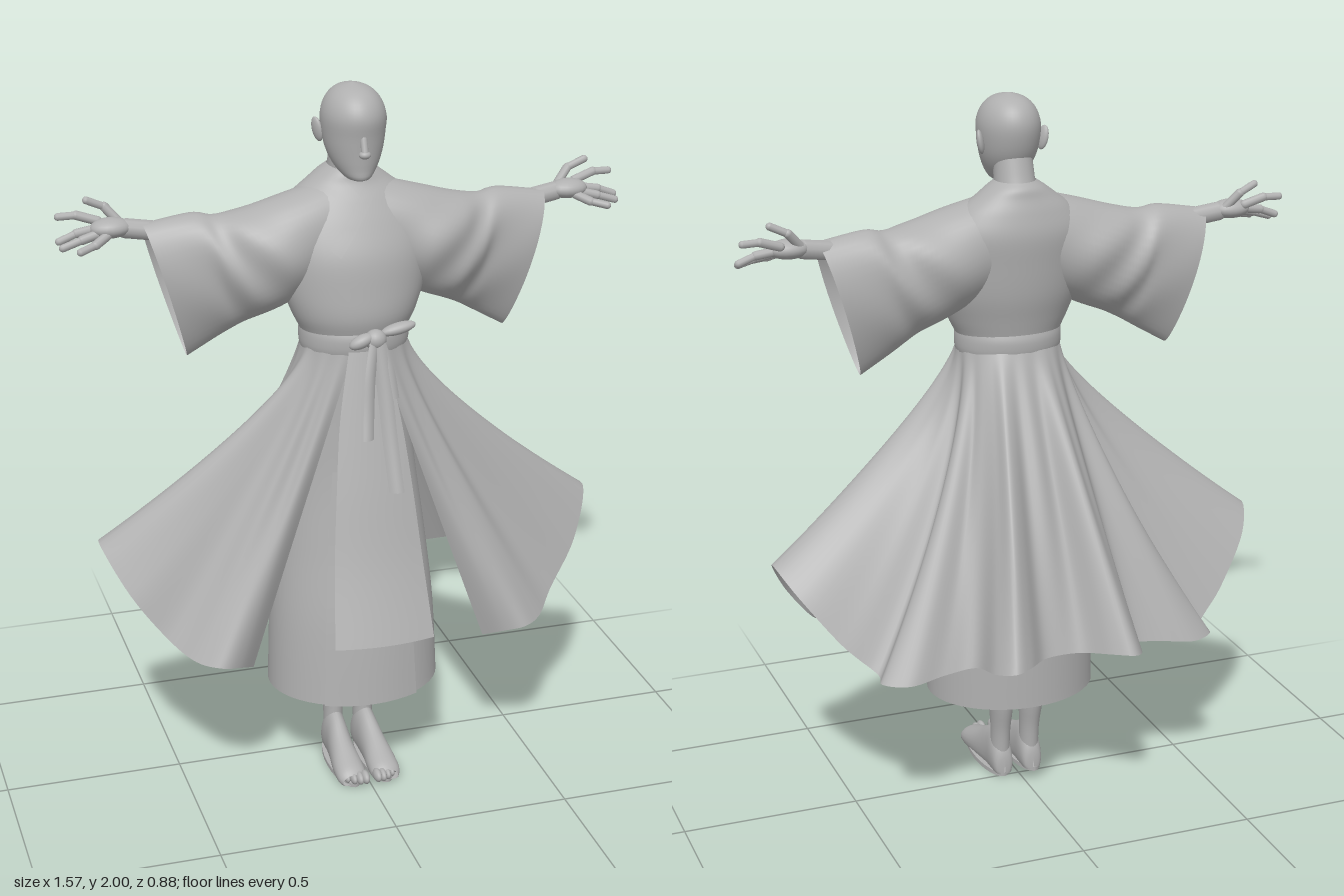
import * as THREE from 'three';

const V = (x, y, z) => new THREE.Vector3(x, y, z);

// Smoothly interpolates a table of rows at t in 0..1
function sample(rows, t) {
  const f = Math.min(Math.max(t, 0), 1) * (rows.length - 1);
  const i = Math.min(Math.floor(f), rows.length - 2), u = f - i;
  const at = k => rows[Math.min(Math.max(k, 0), rows.length - 1)];
  const [a, b, c, d] = [at(i - 1), at(i), at(i + 1), at(i + 2)];
  return b.map((p, k) => p + 0.5 * u * (c[k] - a[k] +
    u * (2 * a[k] - 5 * p + 4 * c[k] - d[k] + u * (3 * (p - c[k]) + d[k] - a[k]))));
}

// Grid surface from point(u, v); u may wrap around
function surface(point, nu, nv, closed = false) {
  const pos = [], idx = [], cols = closed ? nu : nu + 1;
  for (let j = 0; j <= nv; j++)
    for (let i = 0; i < cols; i++) pos.push(...point(i / nu, j / nv));
  for (let j = 0; j < nv; j++)
    for (let i = 0; i < nu; i++) {
      const a = j * cols + i, b = j * cols + (i + 1) % cols;
      idx.push(a, b, a + cols, b, b + cols, a + cols);
    }
  const g = new THREE.BufferGeometry();
  g.setAttribute('position', new THREE.Float32BufferAttribute(pos, 3));
  g.setIndex(idx);
  g.computeVertexNormals();
  return g;
}

// Upright loft through ellipses [y, cx, cz, rx, rz]
const loft = (rows, nu = 40, nv = 32) => surface((u, v) => {
  const [y, cx, cz, rx, rz] = sample(rows, v), a = u * Math.PI * 2;
  return [cx + rx * Math.sin(a), y, cz + rz * Math.cos(a)];
}, nu, nv, true);

// Ribbon through rows [x, y, z, halfWidth], spread along a direction
const ribbon = (rows, dir, bow = 0, n = 8) => surface((u, v) => {
  const [x, y, z, w] = sample(rows, v), s = u * 2 - 1;
  return [x + dir[0] * w * s, y + dir[1] * w * s, z + dir[2] * w * s - bow * w * s * s];
}, n, 24);

export function createModel() {
  const model = new THREE.Group();
  const cloth = new THREE.MeshStandardMaterial({ color: 0xb0b0b0, side: THREE.DoubleSide });
  cloth.name = 'plain grey';
  const add = (name, geo, parent = model) => {
    const m = new THREE.Mesh(geo, cloth);
    m.name = name;
    parent.add(m);
    return m;
  };
  const ball = (name, p, s, parent) => {
    const m = add(name, new THREE.SphereGeometry(1, 20, 14), parent);
    m.position.set(...p);
    m.scale.set(...s);
    return m;
  };
  const limb = (name, a, b, r, parent) => {
    const p = V(...a), d = V(...b).sub(p);
    const m = add(name, new THREE.CapsuleGeometry(r, d.length(), 5, 10), parent);
    m.position.copy(p).addScaledVector(d, 0.5);
    m.quaternion.setFromUnitVectors(V(0, 1, 0), d.normalize());
    return m;
  };

  // Head, neck and face
  add('head', loft([
    [1.752, 0, 0.125, 0.001, 0.001], [1.757, 0, 0.122, 0.03, 0.042], [1.785, 0, 0.1, 0.056, 0.069],
    [1.825, 0, 0.085, 0.074, 0.088], [1.87, 0, 0.078, 0.083, 0.1], [1.92, 0, 0.077, 0.085, 0.107],
    [1.96, 0, 0.075, 0.071, 0.092], [1.987, 0, 0.073, 0.043, 0.058], [2, 0, 0.072, 0.001, 0.001]]));
  add('neck', loft([[1.66, 0, 0.02, 0.07, 0.07], [1.72, 0, 0.022, 0.06, 0.068],
    [1.79, 0, 0.035, 0.055, 0.058], [1.85, 0, 0.05, 0.053, 0.055]]));
  limb('nose', [0, 1.872, 0.172], [0, 1.838, 0.184], 0.01);
  ball('noseTip', [0, 1.832, 0.184], [0.016, 0.011, 0.014]);
  ball('mouth', [0, 1.798, 0.159], [0.022, 0.008, 0.011]);

  // Torso of the robe, bloused over the belt and closing on the neck
  const torso = [
    [1.25, 0, 0.085, 0.14, 0.11], [1.32, 0, 0.085, 0.143, 0.115], [1.385, 0, 0.086, 0.172, 0.13],
    [1.46, 0, 0.075, 0.198, 0.137], [1.55, 0, 0.063, 0.212, 0.136], [1.63, 0, 0.043, 0.208, 0.122],
    [1.69, 0, 0.032, 0.165, 0.1], [1.73, 0, 0.025, 0.115, 0.08], [1.755, 0, 0.024, 0.082, 0.072],
    [1.772, 0, 0.026, 0.056, 0.058]];
  add('robeTorso', loft(torso, 48, 45));

  // Point lying just outside the chest
  const onChest = (x, y) => {
    let lo = 0, hi = 1;
    for (let k = 0; k < 20; k++) {
      const mid = (lo + hi) / 2;
      if (sample(torso, mid)[0] < y) lo = mid; else hi = mid;
    }
    const [, , cz, rx, rz] = sample(torso, lo);
    return cz + rz * Math.sqrt(Math.max(0, 1 - (x / rx) ** 2)) + 0.005;
  };
  const lapel = (name, from, to) => add(name, surface((u, v) => {
    const x = from[0] + (to[0] - from[0]) * v + (u - 0.5) * 0.026 * Math.sign(from[0]);
    const y = from[1] + (to[1] - from[1]) * v - (u - 0.5) * 0.022;
    return [x, y, onChest(x, y)];
  }, 4, 30));
  lapel('rightLapel', [-0.055, 1.745], [0.0, 1.685]);
  lapel('leftLapel', [0.055, 1.745], [-0.08, 1.57]);

  // Sleeves, arms, hands, ears, legs and feet: one side, mirrored
  const sleeve = [ // xTop, yTop, xBottom, yBottom, zCentre, halfDepth
    [0.07, 1.735, 0.12, 1.44, 0.045, 0.1], [0.2, 1.7, 0.19, 1.405, 0.05, 0.12],
    [0.3, 1.672, 0.265, 1.375, 0.045, 0.114], [0.37, 1.66, 0.315, 1.35, 0.034, 0.1],
    [0.43, 1.668, 0.365, 1.32, 0.026, 0.089], [0.56, 1.648, 0.45, 1.27, 0.022, 0.078]];
  const fingers = [
    [[0.67, 1.655, -0.018], [0.725, 1.673, -0.024], [0.772, 1.672, -0.026]],
    [[0.675, 1.64, 0], [0.73, 1.632, 0.004], [0.777, 1.614, 0.005]],
    [[0.67, 1.632, 0.02], [0.72, 1.62, 0.028], [0.772, 1.604, 0.032]],
    [[0.655, 1.628, 0.035], [0.69, 1.612, 0.056], [0.733, 1.602, 0.074]],
    [[0.615, 1.65, -0.01], [0.65, 1.69, -0.025], [0.697, 1.712, -0.02]]];
  const foot = [ // z, centre x, halfWidth, top
    [-0.008, 0.045, 0.002, 0.03], [0.0, 0.045, 0.026, 0.08], [0.035, 0.045, 0.033, 0.135],
    [0.08, 0.046, 0.033, 0.13], [0.14, 0.049, 0.037, 0.097], [0.2, 0.05, 0.043, 0.07],
    [0.245, 0.05, 0.042, 0.052], [0.265, 0.05, 0.032, 0.037]];
  for (const s of [1, -1]) {
    const side = new THREE.Group();
    side.name = s > 0 ? 'leftLimbs' : 'rightLimbs';
    side.scale.x = s;
    model.add(side);
    add('sleeve', surface((u, v) => {
      const [xt, yt, xb, yb, zc, w] = sample(sleeve, v);
      const a = u * Math.PI * 2, k = (1 - Math.cos(a)) / 2, sn = Math.sin(a);
      const fold = 1 + 0.07 * Math.sin(v * 17 + k * 9) * Math.sin(v * Math.PI);
      const depth = sn * (1.05 - 0.42 * k * k * v);
      return [xt + (xb - xt) * k, yt + (yb - yt) * k, zc + w * fold * depth];
    }, 40, 36, true), side);
    limb('forearm', [0.3, 1.6, 0.03], [0.5, 1.618, 0.018], 0.036, side);
    limb('wrist', [0.48, 1.618, 0.018], [0.6, 1.636, 0.008], 0.027, side);
    ball('palm', [0.64, 1.641, 0.008], [0.056, 0.027, 0.04], side);
    for (const [a, b, c] of fingers) {
      limb('fingerBase', a, b, 0.0125, side);
      limb('fingerTip', b, c, 0.0105, side);
    }
    const ear = ball('ear', [0.09, 1.875, 0.05], [0.01, 0.034, 0.019], side);
    ear.rotation.set(-0.15, -0.4, -0.2);
    add('leg', loft([[0.05, 0.045, 0.036, 0.028, 0.036], [0.14, 0.045, 0.03, 0.028, 0.037],
      [0.25, 0.047, 0.022, 0.037, 0.049], [0.4, 0.055, 0.03, 0.046, 0.055],
      [0.7, 0.065, 0.05, 0.06, 0.07]], 20, 20), side);
    add('foot', surface((u, v) => {
      const [z, cx, w, top] = sample(foot, v), a = u * Math.PI * 2;
      return [cx + w * Math.cos(a), Math.max(0.006, top * (0.4 + 0.6 * Math.sin(a))), z];
    }, 24, 24, true), side);
    const sole = add('sole', new THREE.CylinderGeometry(1, 1, 0.012, 24), side);
    sole.position.set(0.048, 0.006, 0.13);
    sole.scale.set(0.043, 1, 0.14);
    for (let i = 0; i < 5; i++)
      ball('toe', [0.018 + i * 0.016, 0.028 - i * 0.002, 0.268 - i * i * 0.003],
        [0.012 - i * 0.001, 0.018 - i * 0.001, 0.026], side);
  }

  // Straight underskirt with an overlapping front panel
  add('underskirt', loft([[0.27, 0, 0.075, 0.245, 0.205], [0.5, 0, 0.065, 0.235, 0.195],
    [0.72, 0, 0.052, 0.212, 0.175], [0.95, 0, 0.06, 0.178, 0.14], [1.27, 0, 0.085, 0.135, 0.105]], 48, 30));
  add('underskirtFrontPanel', ribbon([[0, 0.95, 0.206, 0.09], [0, 0.72, 0.234, 0.11],
    [0, 0.5, 0.268, 0.125], [0, 0.272, 0.289, 0.135]], [1, 0, 0], 0.22));

  // Wide coat skirt: hem from the front edge round to the middle of the back
  const half = [
    [0.335, 0.42, 0.245], [0.385, 0.45, 0.295], [0.44, 0.465, 0.312], [0.5, 0.47, 0.265],
    [0.56, 0.51, 0.19], [0.65, 0.63, 0.135], [0.712, 0.75, 0.035], [0.67, 0.69, -0.075],
    [0.57, 0.56, -0.145], [0.485, 0.48, -0.19], [0.49, 0.475, -0.25], [0.42, 0.475, -0.29],
    [0.32, 0.485, -0.275], [0.235, 0.5, -0.29], [0.215, 0.52, -0.39], [0.175, 0.535, -0.443],
    [0.12, 0.535, -0.415], [0.06, 0.525, -0.355], [0, 0.525, -0.345]];
  const hem = [...half, ...half.slice(0, -1).reverse().map(([x, y, z]) => [-x, y, z])];
  add('coatSkirt', surface((u, v) => {
    const [hx, hy, hz] = sample(hem, u);
    const a = 0.25 + u * (Math.PI * 2 - 0.5);
    const wx = 0.146 * Math.sin(a), wz = 0.085 + 0.12 * Math.cos(a);
    // Sides and front hang close to the body before flaring out
    const kx = Math.pow(v, 1.05 + 0.42 * Math.sin(a) ** 2);
    const kz = Math.pow(v, 1.05 + 0.95 * Math.max(0, Math.cos(a)));
    const belly = Math.sin(v * Math.PI), pleat = 0.008 * belly * Math.sin(u * 92);
    return [wx + (hx - wx) * kx + pleat * Math.sin(a),
      1.31 + (hy - 1.31) * v + 0.012 * belly,
      wz + (hz - wz) * kz + (pleat + 0.008 * belly) * Math.cos(a)];
  }, 216, 30));

  // Front apron panel swinging forward
  add('apronPanel', ribbon([[0, 1.3, 0.212, 0.05], [-0.003, 1.12, 0.262, 0.085],
    [-0.005, 0.94, 0.312, 0.106], [-0.008, 0.73, 0.368, 0.125], [-0.01, 0.53, 0.435, 0.14]], [1, 0, 0], 0.12));

  // Belt, knot, bow loops and hanging ties
  add('belt', loft([[1.275, 0, 0.085, 0.144, 0.118], [1.3, 0, 0.085, 0.151, 0.125],
    [1.33, 0, 0.085, 0.152, 0.126], [1.35, 0, 0.085, 0.15, 0.12]], 48, 10));
  ball('knot', [0.02, 1.335, 0.22], [0.03, 0.028, 0.027]);
  ball('leftBowLoop', [0.085, 1.358, 0.215], [0.05, 0.016, 0.02]).rotation.z = 0.2;
  ball('rightBowLoop', [-0.02, 1.335, 0.225], [0.036, 0.018, 0.02]).rotation.z = 0.4;
  const tie = (name, rows, w, tilt) =>
    add(name, ribbon(rows.map(p => [...p, w]), [1, 0, tilt], 0.4));
  tie('longTie', [[0.022, 1.335, 0.24], [0.034, 1.2, 0.27], [0.04, 1.07, 0.302], [0.047, 0.935, 0.342]], 0.02, 0.25);
  tie('shortTie', [[0.015, 1.335, 0.24], [-0.004, 1.25, 0.262], [-0.014, 1.16, 0.282], [-0.022, 1.08, 0.305]], 0.016, -0.25);
  tie('loopTie', [[0.03, 1.335, 0.235], [0.05, 1.26, 0.255], [0.06, 1.18, 0.272]], 0.014, -0.2);

  return model;
}
